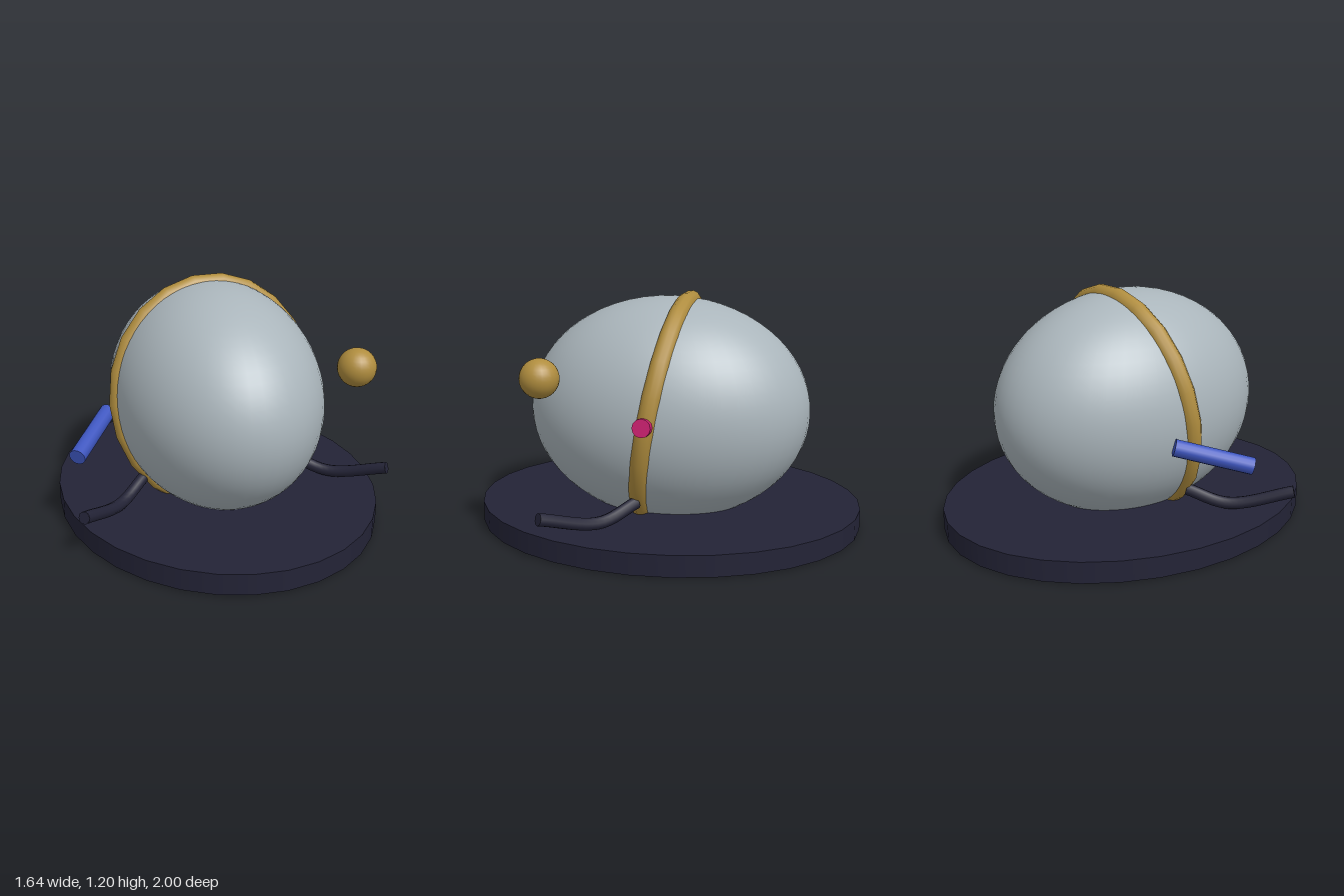
import * as THREE from 'three';

const paint = (name, color) => {
  const m = new THREE.MeshStandardMaterial({ color });
  m.name = name;
  return m;
};

export function createModel() {
  const model = new THREE.Group();
  const grey = paint('paleGrey', 0xaab5bb);
  const navy = paint('darkNavy', 0x232336);
  const gold = paint('gold', 0xb08d3e);
  const blue = paint('blue', 0x3e56c0);
  const pink = paint('pink', 0xcc1f70);

  const add = (name, geometry, material, x = 0, y = 0, z = 0) => {
    const mesh = new THREE.Mesh(geometry, material);
    mesh.name = name;
    mesh.position.set(x, y, z);
    model.add(mesh);
    return mesh;
  };

  // Oval base plate
  add('base', new THREE.CylinderGeometry(1, 1, 0.107, 32), navy, 0, 0.061, 0).scale.set(0.82, 1, 1);

  // Egg-shaped body
  add('body', new THREE.SphereGeometry(1, 48, 32), grey, 0, 0.6, 0).scale.set(0.53, 0.58, 0.73);

  // Leaning band around the body
  const band = add('band', new THREE.TorusGeometry(0.51, 0.05, 12, 22), gold, 0, 0.602, 0);
  band.scale.set(1, 1.1, 1);
  band.rotation.x = -0.18;

  // Side knob, tipped slightly upward
  add('knob', new THREE.CylinderGeometry(0.045, 0.045, 0.04, 12), pink, 0.562, 0.63, 0)
    .rotation.z = -Math.PI / 2 + 0.13;

  // Floating ball beside the body
  add('ball', new THREE.SphereGeometry(0.096, 24, 16), gold, 0.555, 0.84, 0.5);

  // Slanted rod on the right side
  const inner = new THREE.Vector3(-0.54, 0.515, -0.13);
  const tip = new THREE.Vector3(-0.768, 0.42, 0.17);
  const axis = tip.clone().sub(inner);
  const rod = add('rod', new THREE.CylinderGeometry(0.042, 0.042, axis.length(), 14), blue);
  rod.position.copy(inner).add(tip).multiplyScalar(0.5);
  rod.quaternion.setFromUnitVectors(new THREE.Vector3(0, 1, 0), axis.normalize());

  // Mirrored curved arms with flat end caps
  for (const side of [-1, 1]) {
    const curve = new THREE.CatmullRomCurve3([
      new THREE.Vector3(side * 0.41, 0.21, 0.07),
      new THREE.Vector3(side * 0.57, 0.15, 0.21),
      new THREE.Vector3(side * 0.8, 0.23, 0.435),
    ]);
    const label = side > 0 ? 'leftArm' : 'rightArm';
    add(label, new THREE.TubeGeometry(curve, 16, 0.031, 10), navy);
    for (const t of [0, 1]) {
      const p = curve.getPoint(t);
      const out = curve.getTangent(t).multiplyScalar(t ? 1 : -1);
      const cap = add(label + 'Cap', new THREE.CircleGeometry(0.031, 10), navy, p.x, p.y, p.z);
      cap.quaternion.setFromUnitVectors(new THREE.Vector3(0, 0, 1), out);
    }
  }
  return model;
}
